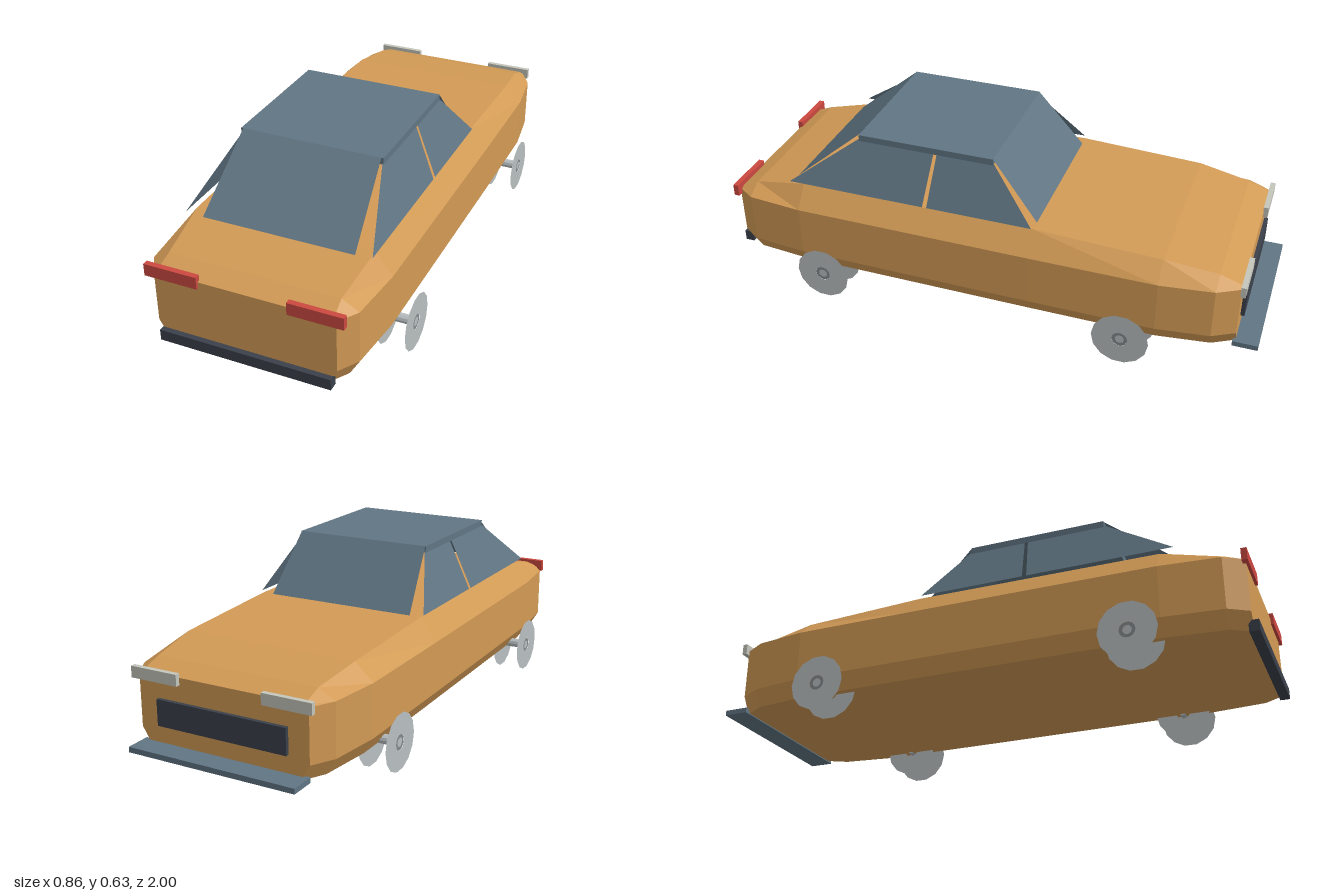
import * as THREE from 'three';

const mat = (name, color, side = THREE.FrontSide) =>
  Object.assign(new THREE.MeshStandardMaterial({ color, side, flatShading: true }), { name });

// Flat-faced geometry from a list of [x, y, z] triangle corners
function facets(points) {
  const g = new THREE.BufferGeometry();
  g.setAttribute('position', new THREE.Float32BufferAttribute(points.flat(), 3));
  g.computeVertexNormals();
  return g;
}
const quad = (a, b, c, d) => [a, b, c, a, c, d];

// Body: eight-sided cross-sections joined along z
function bodyGeometry() {
  // z, side half width, top half width, top height
  const sections = [
    [-0.92, 0.32, 0.305, 0.345],
    [-0.84, 0.365, 0.305, 0.372],
    [-0.65, 0.39, 0.325, 0.4],
    [-0.19, 0.39, 0.328, 0.42],
    [0.7, 0.385, 0.325, 0.417],
    [0.91, 0.365, 0.305, 0.372],
    [0.98, 0.32, 0.31, 0.343],
  ];
  const rings = sections.map(([z, w, t, top]) => {
    const half = [[w - 0.035, 0.092], [w, 0.15], [w, 0.338], [t, top]];
    const other = half.map(([x, y]) => [-x, y]).reverse();
    return [...half, ...other].map(([x, y]) => [x, y, z]);
  });
  const pts = [];
  for (let i = 0; i < rings.length - 1; i++) {
    const p = rings[i], q = rings[i + 1];
    for (let j = 0; j < 8; j++) {
      const k = (j + 1) % 8;
      pts.push(...quad(p[j], p[k], q[k], q[j]));
    }
  }
  // end caps
  const first = rings[0], last = rings[rings.length - 1];
  for (let j = 1; j < 7; j++) {
    pts.push(last[0], last[j], last[j + 1]);
    pts.push(first[0], first[j + 1], first[j]);
  }
  return facets(pts);
}

export function createModel() {
  const paint = mat('orange paint', 0xd29a55);
  const glass = mat('blue grey glass', 0x607583, THREE.DoubleSide);
  const dark = mat('dark trim', 0x3a404a);
  const red = mat('red lens', 0xcb4840);
  const lens = mat('pale lens', 0xc4c5bb);
  const metal = mat('wheel grey', 0xb8bec0, THREE.DoubleSide);
  const hubGrey = mat('hub grey', 0x85898c, THREE.DoubleSide);

  const model = new THREE.Group();
  model.name = 'car';
  const add = (name, geometry, material, parent = model) => {
    const m = new THREE.Mesh(geometry, material);
    m.name = name;
    parent.add(m);
    return m;
  };
  // Box given by its lowest and highest corners
  const box = (name, material, [x0, y0, z0], [x1, y1, z1]) =>
    add(name, new THREE.BoxGeometry(x1 - x0, y1 - y0, z1 - z0), material)
      .position.set((x0 + x1) / 2, (y0 + y1) / 2, (z0 + z1) / 2);

  add('body', bodyGeometry(), paint);

  // Cabin
  box('roof', glass, [-0.262, 0.606, -0.02], [0.262, 0.63, 0.49]);
  add('windshield', facets(quad(
    [0.285, 0.42, -0.19], [-0.285, 0.42, -0.19], [-0.26, 0.63, -0.02], [0.26, 0.63, -0.02])), glass);
  add('rearWindow', facets(quad(
    [-0.275, 0.418, 0.745], [0.275, 0.418, 0.745], [0.254, 0.63, 0.49], [-0.254, 0.63, 0.49])), glass);

  for (const s of [1, -1]) {
    const side = s > 0 ? 'left' : 'right';
    const low = z => [s * 0.337, 0.426, z], high = z => [s * 0.258, 0.614, z];
    // wind each pane so that it faces outward on both sides
    const pane = (zb0, zb1, zt0, zt1) => s > 0
      ? quad(low(zb1), low(zb0), high(zt0), high(zt1))
      : quad(low(zb0), low(zb1), high(zt1), high(zt0));
    add(side + 'FrontSideWindow', facets(pane(-0.185, 0.207, -0.02, 0.19)), glass);
    add(side + 'RearSideWindow', facets(pane(0.223, 0.75, 0.202, 0.49)), glass);

    // Lamps
    const [a, b] = s > 0 ? [0.16, 0.34] : [-0.34, -0.16];
    box(side + 'Headlight', lens, [a, 0.32, -0.936], [b, 0.36, -0.918]);
    const [c, d] = s > 0 ? [0.158, 0.35] : [-0.35, -0.158];
    box(side + 'TailLight', red, [c, 0.322, 0.97], [d, 0.366, 0.99]);

    // Wheels: two thin discs on a stub axle
    for (const [end, z] of [['Front', -0.54], ['Rear', 0.6]]) {
      const wheel = new THREE.Group();
      wheel.name = side + end + 'Wheel';
      wheel.position.set(0, 0.104, z);
      model.add(wheel);
      const ring = (name, inner, outer, x, material) => {
        const g = new THREE.RingGeometry(inner, outer, 14).rotateY(s * Math.PI / 2);
        add(name, g, material, wheel).position.x = s * x;
      };
      ring('outerDisc', 0.028, 0.102, 0.43, metal);
      ring('innerDisc', 0.028, 0.102, 0.33, metal);
      ring('hub', 0.016, 0.028, 0.429, hubGrey);
      const axle = new THREE.CylinderGeometry(0.017, 0.017, 0.108, 10).rotateZ(Math.PI / 2);
      add('axle', axle, metal, wheel).position.x = s * 0.375;
    }
  }

  // Trim at both ends
  box('grille', dark, [-0.245, 0.17, -0.934], [0.245, 0.262, -0.915]);
  box('frontLip', glass, [-0.315, 0.088, -1], [0.315, 0.107, -0.91]);
  box('rearBumper', dark, [-0.307, 0.085, 0.965], [0.307, 0.125, 1]);

  return model;
}
